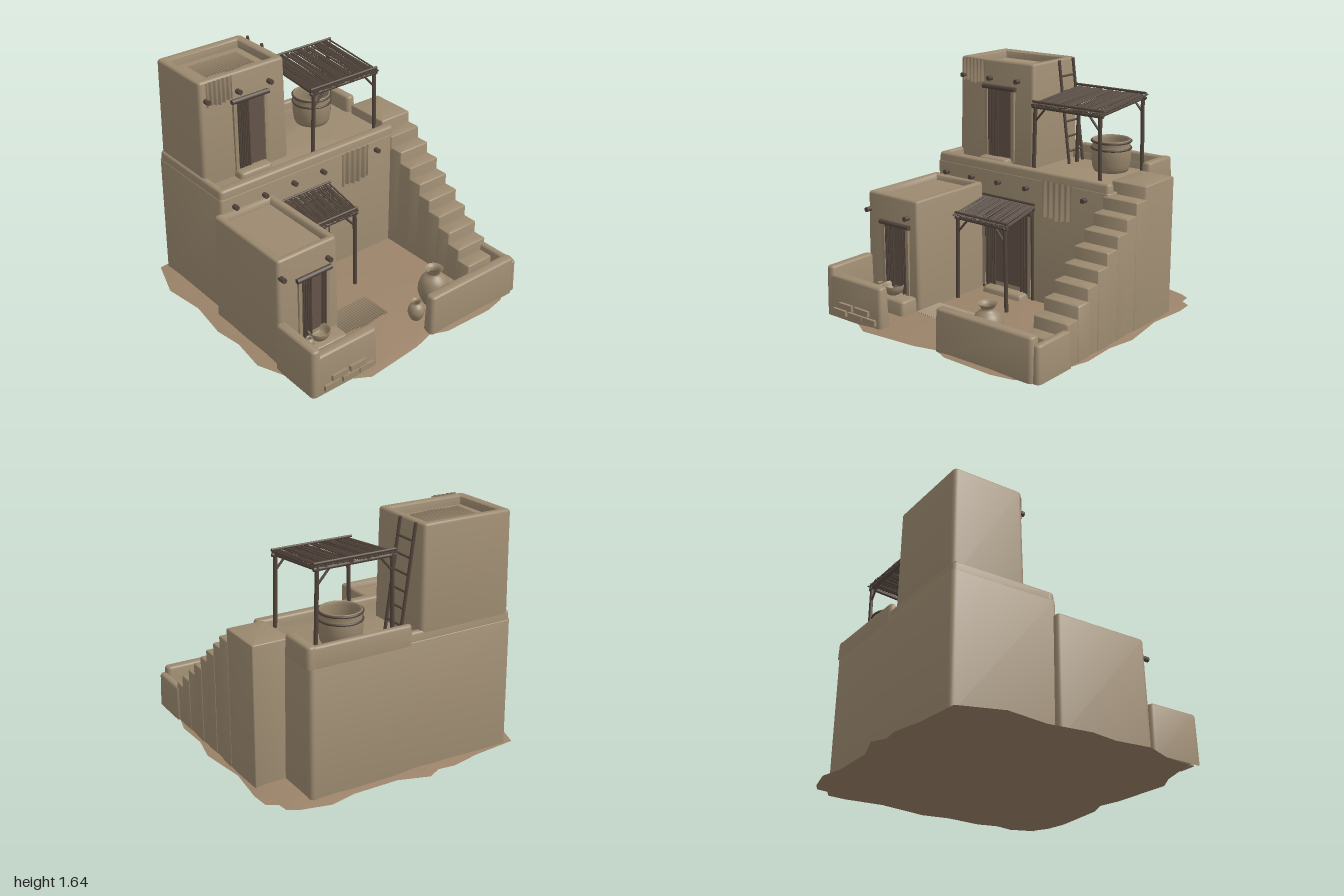
import * as THREE from 'three';
import { toCreasedNormals } from 'three/addons/utils/BufferGeometryUtils.js';

const paint = (name, color, side = THREE.FrontSide) => {
  const m = new THREE.MeshStandardMaterial({ color, side });
  m.name = name;
  return m;
};

export function createModel() {
  const root = new THREE.Group();
  root.name = 'adobeHouse';
  const adobe = paint('adobe', 0x9c8a70);
  const earth = paint('earth', 0x9b8369);
  const cloth = paint('cloth', 0x9a886e, THREE.DoubleSide);
  const clay = paint('clay', 0x98866c, THREE.DoubleSide);
  const wood = paint('darkWood', 0x54473d);
  const doorway = paint('doorway', 0x66544a);

  let seed = 7;
  const rnd = () => (seed = (seed * 16807) % 2147483647) / 2147483647;

  const add = (name, geo, mat, parent = root) => {
    const mesh = new THREE.Mesh(geo, mat);
    mesh.name = name;
    parent.add(mesh);
    return mesh;
  };
  const group = (name) => {
    const g = new THREE.Group();
    g.name = name;
    root.add(g);
    return g;
  };

  // Round pole between two points
  const rod = (name, a, b, r, parent = root, sides = 8) => {
    const p = new THREE.Vector3(...a), q = new THREE.Vector3(...b);
    const d = q.clone().sub(p);
    const m = add(name, new THREE.CylinderGeometry(r, r, d.length(), sides), wood, parent);
    m.position.copy(p).add(q).multiplyScalar(0.5);
    m.quaternion.setFromUnitVectors(new THREE.Vector3(0, 1, 0), d.normalize());
    return m;
  };

  // Tapered block with soft edges, lofted from rounded rectangles; rim > 0 sinks the roof
  const block = (name, [x0, x1], [y0, y1], [z0, z1], { b = 0.015, r = 0.03, taper = 0.006, rim = 0, depth = 0.04 } = {}, parent = root) => {
    const rings = [[y0, 0], [y1 - b, taper], [y1 - b * 0.3, taper + b * 0.3], [y1, taper + b]];
    if (rim) rings.push([y1, taper + rim - b], [y1 - b * 0.7, taper + rim], [y1 - depth, taper + rim + 0.005]);
    const pos = [], idx = [], n = 20;
    for (const [y, inset] of rings) {
      const c = Math.max(r - inset * 0.4, 0.006);
      for (let i = 0; i < n; i++) {
        const corner = Math.floor(i / 5), a = (corner + (i % 5) / 4) * Math.PI / 2;
        const cx = corner === 0 || corner === 3 ? x1 - inset - c : x0 + inset + c;
        const cz = corner < 2 ? z1 - inset - c : z0 + inset + c;
        pos.push(cx + c * Math.cos(a), y, cz + c * Math.sin(a));
      }
    }
    const last = (rings.length - 1) * n;
    for (let k = 0; k < last; k += n) for (let i = 0; i < n; i++) {
      const j = (i + 1) % n;
      idx.push(k + i, k + n + i, k + j, k + j, k + n + i, k + n + j);
    }
    pos.push((x0 + x1) / 2, rings[rings.length - 1][0], (z0 + z1) / 2);
    for (let i = 0; i < n; i++) idx.push(last + n, last + (i + 1) % n, last + i);
    const g = new THREE.BufferGeometry();
    g.setAttribute('position', new THREE.Float32BufferAttribute(pos, 3));
    g.setIndex(idx);
    return add(name, toCreasedNormals(g, 0.9), adobe, parent);
  };

  // Ground with a ragged outline, slightly raised inside
  const edge = [[-.88, -.89], [-.55, -.92], [-.34, -.965], [-.22, -.95], [-.12, -1], [.09, -.93], [.42, -.93], [.6, -.97],
    [.8, -.92], [.87, -.88], [.88, -.8], [.95, -.76], [.96, -.63], [.93, -.35], [.98, 0], [.94, .2], [.95, .45], [.91, .6],
    [.93, .73], [.87, .88], [.75, .95], [.6, .98], [.22, .97], [.1, .92], [-.05, .96], [-.48, 1], [-.6, .93], [-.88, .85],
    [-.9, .65], [-.98, .45], [-.95, .2], [-.98, 0], [-.94, -.3], [-.98, -.6]];
  const gp = [], gi = [], gn = edge.length;
  for (const [s, y] of [[1, 0], [0.9, 0.02]]) for (const [x, z] of edge) gp.push(x * s, y, z * s);
  gp.push(0, 0.022, 0, 0, 0, 0);
  for (let i = 0; i < gn; i++) {
    const j = (i + 1) % gn;
    gi.push(i, gn + i, j, j, gn + i, gn + j, 2 * gn, gn + j, gn + i, 2 * gn + 1, i, j);
  }
  const groundGeo = new THREE.BufferGeometry();
  groundGeo.setAttribute('position', new THREE.Float32BufferAttribute(gp, 3));
  groundGeo.setIndex(gi);
  add('ground', toCreasedNormals(groundGeo, 0.5), earth);

  // House volumes
  block('mainHouse', [-0.83, 0.7], [0, 0.9], [-0.885, -0.11], { taper: 0.01, b: 0.004 });
  block('frontParapet', [-0.82, 0.69], [0.86, 0.96], [-0.205, -0.12]);
  block('leftParapet', [-0.82, -0.76], [0.86, 0.96], [-0.875, -0.13]);
  block('backParapet', [-0.82, 0.69], [0.86, 0.96], [-0.875, -0.81]);
  block('raisedBackParapet', [-0.05, 0.69], [0.88, 1.015], [-0.878, -0.815]);
  block('rightParapet', [0.63, 0.712], [0.88, 1.02], [-0.878, -0.58]);
  block('tower', [-0.8, -0.105], [0.88, 1.64], [-0.87, -0.34], { taper: 0.012, rim: 0.06, depth: 0.06 });
  block('annex', [-0.88, -0.385], [0, 0.8], [-0.16, 0.56], { taper: 0.014, rim: 0.05, depth: 0.045 });

  // Outside stair
  const stairs = group('stairs');
  for (let i = 0; i < 11; i++) {
    const z1 = 0.83 - 0.104 * i, z0 = i === 10 ? -0.565 : z1 - 0.13;
    block('step', [0.645, 0.915 + 0.004 * (i % 2)], [0, 0.115 + 0.0855 * i], [z0, z1], { b: 0.008, r: 0.012, taper: 0.003 }, stairs);
  }

  // Courtyard walls
  block('frontWallLeft', [0.1, 0.885], [0, 0.29], [0.845, 0.935]);
  block('sideWallLeft', [0.865, 0.928], [0, 0.245], [0.58, 0.92]);
  block('frontWallRight', [-0.9, -0.375], [0, 0.295], [0.845, 0.935]);
  block('sideWallRight', [-0.905, -0.825], [0, 0.35], [0.54, 0.935]);
  const bricks = group('bareBricks');
  for (const [x, y, w] of [[-.76, .048, .12], [-.61, .05, .13], [-.48, .05, .12], [-.7, .1, .12], [-.55, .1, .13]])
    add('brick', new THREE.BoxGeometry(w, 0.04, 0.03), adobe, bricks).position.set(x, y, 0.938);

  // Doorways with jambs, lintel, stick screen and sill
  const door = (name, x0, x1, y0, y1, z, screens) => {
    const g = group(name), w = x1 - x0, cx = (x0 + x1) / 2;
    add('doorPanel', new THREE.BoxGeometry(w, y1 - y0, 0.008), doorway, g).position.set(cx, (y0 + y1) / 2, z);
    for (const x of [x0 - 0.01, x1 + 0.01])
      add('jamb', new THREE.BoxGeometry(0.025, y1 - y0, 0.03), adobe, g).position.set(x, (y0 + y1) / 2, z);
    for (const [a, b] of screens) for (let x = a; x <= b; x += 0.0135) {
      const drop = rnd() * 0.03;
      rod('screenStick', [x, y0 + drop, z + 0.008], [x + (rnd() - 0.5) * 0.006, y1, z + 0.008], 0.006, g, 6);
    }
    rod('lintel', [x0 - 0.035, y1 + 0.01, z + 0.012], [x1 + 0.035, y1 + 0.01, z + 0.012], 0.018, g);
  };
  door('towerDoor', -0.525, -0.3, 0.92, 1.44, -0.342, [[-0.51, -0.42]]);
  door('annexDoor', -0.7, -0.495, 0.1, 0.6, 0.553, [[-0.69, -0.62], [-0.53, -0.5]]);
  door('mainDoor', -0.36, 0.035, 0.04, 0.64, -0.115, [[-0.35, -0.26], [-0.03, 0.03]]);
  block('towerDoorStep', [-0.56, -0.29], [0.88, 0.945], [-0.36, -0.25]);
  block('annexBench', [-0.79, -0.41], [0, 0.12], [0.53, 0.695]);
  block('mainDoorStep', [-0.33, 0.03], [0, 0.06], [-0.14, -0.02]);

  // Roof beam ends
  const beams = group('beamEnds');
  for (const [y, z, xs] of [[1.51, -0.35, [-0.745, -0.5, -0.25]], [0.83, -0.12, [-0.72, -0.48, -0.235, 0.015, 0.505]],
    [0.675, 0.55, [-0.845, -0.48]]])
    for (const x of xs) rod('beamEnd', [x, y, z - 0.03], [x, y, z + 0.04], 0.018, beams);

  // Stick shades on posts: front height yf, back height yb
  const shade = (name, x0, x1, zb, zf, yb, yf, floor, count, backPosts) => {
    const g = group(name), xa = x0 + 0.025, xb = x1 - 0.025, za = zb + 0.015, zc = zf - 0.02;
    for (const [z, y, hasPosts] of [[zc, yf, true], [za, yb, backPosts]]) {
      rod('crossBeam', [x0, y, z], [x1, y, z], 0.013, g);
      rod('topPole', [x0, y + 0.035, z], [x1, y + 0.035, z], 0.009, g);
      if (hasPosts) for (const [x, s] of [[xa, 1], [xb, -1]]) {
        rod('post', [x - s * 0.012, floor, z], [x, y, z], 0.014, g);
        rod('brace', [x, y - 0.1, z], [x + s * 0.085, y - 0.005, z], 0.008, g);
      }
    }
    for (const x of [xa, xb]) rod('sideBeam', [x, yb, zb], [x, yf, zf], 0.012, g);
    for (let i = 0; i < count; i++) {
      const x = x0 + (x1 - x0) * (i + 0.5) / count, e = rnd() * 0.02, k = (rnd() - 0.5) * 0.012;
      rod('roofStick', [x + k, yb + 0.018 + k, zb - 0.01 + e], [x - k, yf + 0.018 + k, zf + 0.012 - e], 0.0062, g, 6);
    }
  };
  shade('roofShade', -0.01, 0.575, -0.73, -0.185, 1.435, 1.385, 0.89, 42, true);
  shade('doorShade', -0.385, 0.085, -0.13, 0.2, 0.685, 0.615, 0.01, 34, true);

  // Ladder leaning on the tower
  const ladder = group('ladder');
  const low = [0, 0.9], high = [-0.1, 1.64];
  for (const z of [-0.625, -0.79]) rod('ladderRail', [...low, z], [...high, z], 0.011, ladder);
  for (let t = 0.12; t < 0.98; t += 0.145) {
    const x = low[0] + (high[0] - low[0]) * t, y = low[1] + (high[1] - low[1]) * t;
    rod('rung', [x, y, -0.8], [x, y, -0.615], 0.008, ladder);
  }

  // Ribbed cloths and mats; flat ones lie on the floor
  const ribbed = (name, x, y, z, w, h, ribs, depth, flat) => {
    const g = new THREE.PlaneGeometry(w, h, ribs * 8, 6), p = g.attributes.position;
    for (let i = 0; i < p.count; i++) {
      const u = p.getX(i) / w + 0.5, v = 0.5 - p.getY(i) / h;
      p.setZ(i, Math.sin(u * ribs * Math.PI * 2) * depth * (0.5 + 0.5 * v));
      p.setY(i, p.getY(i) + Math.sin(u * 9) * 0.008 * v);
    }
    if (flat) g.rotateX(-Math.PI / 2);
    g.computeVertexNormals();
    add(name, g, cloth).position.set(x, y, z);
  };
  ribbed('hangingCloth', 0.29, 0.785, -0.09, 0.24, 0.26, 5, 0.015, false);
  ribbed('towerCloth', -0.65, 1.555, -0.332, 0.2, 0.17, 6, 0.012, false);
  ribbed('towerRoofMat', -0.45, 1.595, -0.6, 0.39, 0.22, 18, 0.007, true);
  ribbed('courtyardMat', -0.185, 0.032, 0.475, 0.4, 0.24, 20, 0.008, true);

  // Pots, bowl and water tub turned from profiles
  const turned = (name, x, y, z, r, h, profile) => {
    const pts = new THREE.SplineCurve(profile.map(([a, b]) => new THREE.Vector2(a * r, b * h))).getPoints(24);
    add(name, new THREE.LatheGeometry(pts, 28), clay).position.set(x, y, z);
  };
  const jar = [[0, 0], [0.55, 0.01], [0.92, 0.28], [1, 0.48], [0.8, 0.72], [0.42, 0.85], [0.44, 0.92], [0.62, 1], [0.4, 0.94], [0.34, 0.85]];
  const bowl = [[0, 0], [0.5, 0.02], [0.9, 0.5], [1, 1], [0.88, 0.9], [0.6, 0.3], [0, 0.15]];
  turned('largeJar', 0.34, 0.02, 0.69, 0.105, 0.29, jar);
  turned('smallJar', 0.13, 0.02, 0.75, 0.058, 0.15, jar);
  turned('benchJar', -0.69, 0.12, 0.625, 0.033, 0.07, jar);
  turned('benchBowl', -0.59, 0.12, 0.6, 0.075, 0.07, bowl);
  turned('waterTub', 0.345, 0.9, -0.65, 0.14, 0.23,
    [[0, 0], [0.8, 0.01], [0.97, 0.3], [1, 0.6], [0.95, 0.85], [0.97, 1], [0.88, 0.98], [0.85, 0.7], [0.8, 0.3], [0, 0.25]]);
  for (const y of [1.07, 1.12]) {
    const hoop = add('tubHoop', new THREE.TorusGeometry(0.138, 0.008, 8, 36), wood);
    hoop.rotation.x = Math.PI / 2;
    hoop.position.set(0.345, y, -0.65);
  }
  return root;
}
